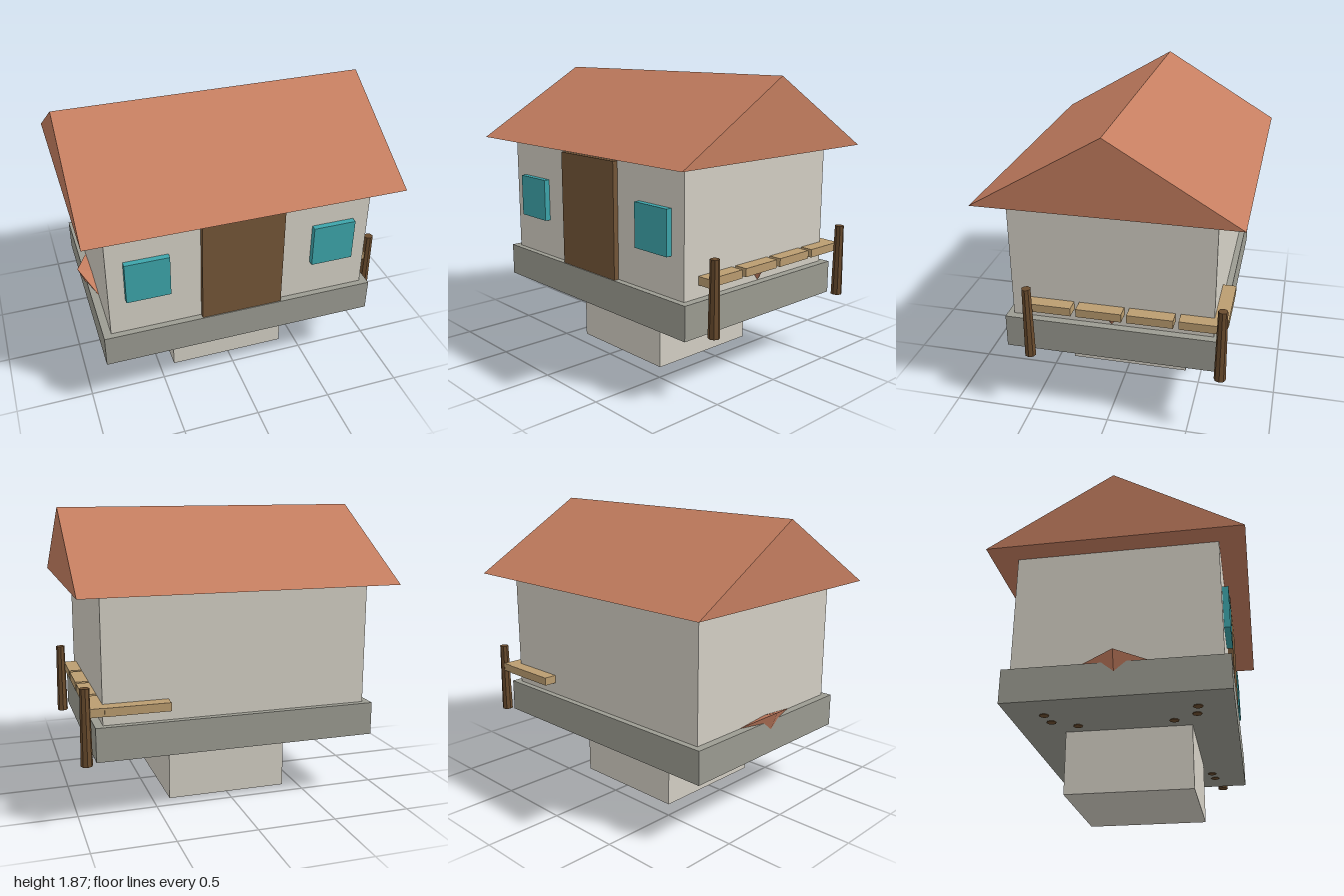
import * as THREE from 'three';

const mat = (name, color, side = THREE.FrontSide) => {
  const m = new THREE.MeshStandardMaterial({ color, side, flatShading: true });
  m.name = name;
  return m;
};

export function createModel() {
  const group = new THREE.Group();
  const wall = mat('plaster', 0xd4d0c5);
  const stone = mat('stone', 0x9c9c92);
  const roofTile = mat('terracotta', 0xc57e60);
  const doorWood = mat('doorWood', 0x745638);
  const glass = mat('teal', 0x3da5ab);
  const plankWood = mat('plankWood', 0xbb9d70);
  const postWood = mat('postWood', 0x6a4c2e);

  const add = (name, geometry, material) => {
    const mesh = new THREE.Mesh(geometry, material);
    mesh.name = name;
    group.add(mesh);
    return mesh;
  };
  // Box given by its two opposite corners
  const box = (name, material, x0, x1, y0, y1, z0, z1) =>
    add(name, new THREE.BoxGeometry(x1 - x0, y1 - y0, z1 - z0), material)
      .position.set((x0 + x1) / 2, (y0 + y1) / 2, (z0 + z1) / 2);
  // Small solid from corner points and triangles
  const solid = (name, points, faces, material) => {
    const geometry = new THREE.BufferGeometry();
    geometry.setAttribute('position', new THREE.Float32BufferAttribute(points.flat(), 3));
    geometry.setIndex(faces.flat());
    const flat = geometry.toNonIndexed();
    flat.computeVertexNormals();
    add(name, flat, material);
  };

  // House body
  box('foundation', wall, -0.4, 0.39, 0, 0.41, -0.395, 0.395);
  box('floorSlab', stone, -0.905, 0.9, 0.4, 0.613, -0.668, 0.668);
  box('walls', wall, -0.855, 0.85, 0.6, 1.4, -0.628, 0.628);

  // Door and windows
  box('door', doorWood, -0.268, 0.265, 0.613, 1.357, 0.62, 0.662);
  for (const x of [-0.61, 0.605]) box('window', glass, x - 0.14, x + 0.14, 0.864, 1.143, 0.62, 0.666);

  // Gabled roof
  const gable = new THREE.Shape([
    new THREE.Vector2(-0.79, 1.398), new THREE.Vector2(0.79, 1.398), new THREE.Vector2(0, 1.865),
  ]);
  const roof = new THREE.ExtrudeGeometry(gable, { depth: 2, bevelEnabled: false });
  roof.translate(0, 0, -1).rotateY(Math.PI / 2);
  add('roof', roof, roofTile);

  // Side railing with tapered posts
  for (const z of [0.495, -0.686]) {
    add('railPost', new THREE.CylinderGeometry(0.029, 0.036, 0.47, 8), postWood).position.set(0.96, 0.632, z);
  }
  for (let i = 0; i < 4; i++) {
    const z = 0.515 - i * 0.314;
    box('railPlank', plankWood, 0.85, 0.935, 0.692, 0.745, z - 0.282, z);
  }
  box('backRailPlank', plankWood, 0.45, 0.85, 0.692, 0.745, -0.713, -0.628);

  // Post ends showing beneath the slab, three in each corner
  for (const sx of [-1, 1]) for (const sz of [-1, 1]) {
    for (const [x, z] of [[0.69, 0.455], [0.578, 0.44], [0.495, 0.295]]) {
      add('underfloorPost', new THREE.CylinderGeometry(0.03, 0.03, 0.02, 8), postWood)
        .position.set(sx * x, 0.406, sz * z);
    }
  }

  // Terracotta points sticking out of the side walls
  const clay = mat('terracottaTrim', 0xc57e60, THREE.DoubleSide);
  solid('leftSpike', [
    [-0.95, 0.675, 0], [-0.855, 0.615, -0.24], [-0.855, 0.615, 0.24], [-0.855, 0.636, 0], [-0.87, 0.46, 0],
  ], [[0, 3, 1], [0, 2, 3], [0, 1, 4], [0, 4, 2]], clay);
  solid('rightSpike', [
    [0.905, 0.7, 0], [0.85, 0.7, 0.065], [0.85, 0.7, -0.065], [0.85, 0.616, 0],
  ], [[0, 2, 1], [0, 1, 3], [0, 3, 2]], clay);

  return group;
}
